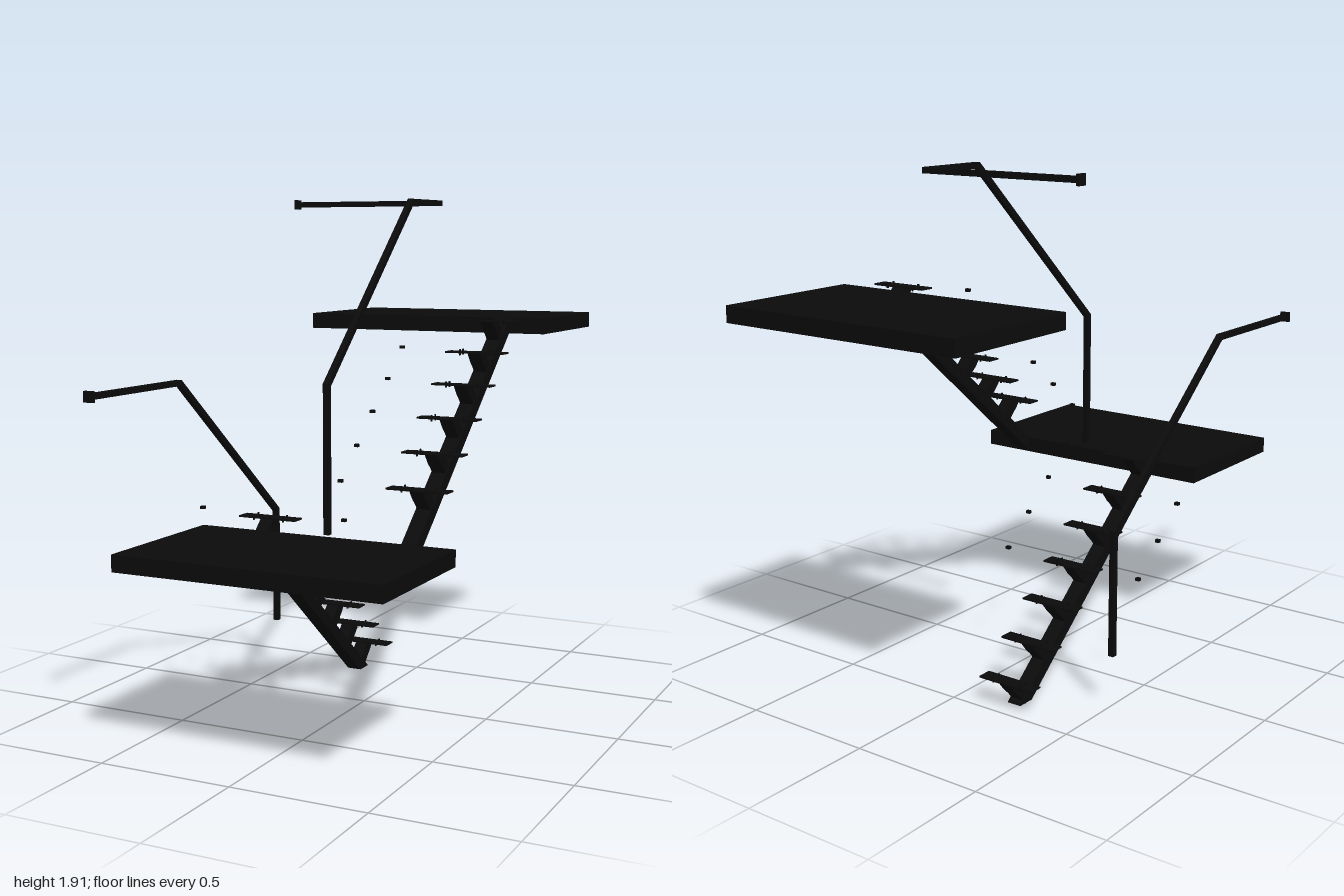
import * as THREE from 'three';

const mat = new THREE.MeshStandardMaterial({ color: 0x0b0b0b });
const STEP_Z = 0.13, STEP_Y = 0.109;

function add(parent, geometry, name, x = 0, y = 0, z = 0) {
  const mesh = new THREE.Mesh(geometry, mat);
  mesh.name = name;
  mesh.position.set(x, y, z);
  parent.add(mesh);
  return mesh;
}

const box = (w, h, d) => new THREE.BoxGeometry(w, h, d);

// Side profile of [z, y] points, extruded along x and centred on x = 0
function sideExtrude(points, width) {
  const shape = new THREE.Shape(points.map(([z, y]) => new THREE.Vector2(-z, y)));
  const geo = new THREE.ExtrudeGeometry(shape, { depth: width, bevelEnabled: false });
  return geo.translate(0, 0, -width / 2).rotateY(Math.PI / 2);
}

// Square bar swept along a polyline with mitred corners
function mitredBar(points, size) {
  const p = points.map(a => new THREE.Vector3(...a));
  const dirs = p.slice(1).map((q, i) => q.clone().sub(p[i]).normalize());
  const d0 = dirs[0];
  const u = new THREE.Vector3(1, 0, 0);
  const v = new THREE.Vector3().crossVectors(d0, u);
  const corners = [[-1, -1], [1, -1], [1, 1], [-1, 1]];
  let ring = corners.map(([a, b]) =>
    p[0].clone().addScaledVector(u, a * size / 2).addScaledVector(v, b * size / 2));
  const pos = [];
  const quad = (a, b, c, d) => [a, b, c, a, c, d].forEach(q => pos.push(q.x, q.y, q.z));
  quad(ring[3], ring[2], ring[1], ring[0]);
  dirs.forEach((d, i) => {
    // slide the ring along the segment to the mitre plane at its end
    const n = d.clone().add(dirs[i + 1] ?? d).normalize();
    const next = ring.map(c =>
      c.clone().addScaledVector(d, p[i + 1].clone().sub(c).dot(n) / d.dot(n)));
    for (let k = 0; k < 4; k++) {
      const m = (k + 1) % 4;
      quad(ring[k], ring[m], next[m], next[k]);
    }
    ring = next;
  });
  quad(ring[0], ring[1], ring[2], ring[3]);
  const geo = new THREE.BufferGeometry();
  geo.setAttribute('position', new THREE.Float32BufferAttribute(pos, 3));
  geo.computeVertexNormals();
  return geo;
}

// One flight: central stringer, bracketed treads, bolts and side fixings.
// up is the z direction of climbing.
function flight({ name, x, up, profile, count, z0, y0, fixings, firstFixing }) {
  const g = new THREE.Group();
  g.name = name;
  g.position.x = x;
  add(g, sideExtrude(profile, 0.057), 'stringer');

  // slanted bracket with a hollowed underside
  const outline = [[-0.028, 0], [0.028, 0], [0.105, -0.075], [0.06, -0.098], [0.024, -0.056], [0, -0.034]];
  if (up < 0) outline.reverse();
  const bracket = sideExtrude(outline.map(([z, y]) => [z * up, y]), 0.05);

  for (let i = 0; i < count; i++) {
    const y = y0 + i * STEP_Y, z = z0 + up * i * STEP_Z;
    add(g, bracket, 'treadBracket', 0, y - 0.002, z);
    add(g, box(0.23, 0.006, 0.056), 'tread', 0, y, z);
    for (const sx of [-1, 1])
      for (const sz of [-1, 1])
        add(g, box(0.005, 0.022, 0.006), 'treadBolt', sx * 0.06, y, z + sz * 0.016);
    if (i >= firstFixing)
      for (const fx of fixings)
        add(g, box(0.016, 0.011, 0.014), 'railFixing', fx, y + 0.012, z - up * 0.01);
  }
  return g;
}

export function createModel() {
  const model = new THREE.Group();
  model.name = 'staircase';

  // Landings
  add(model, box(0.99, 0.06, 0.57), 'middleLanding', 0.055, 0.69, 0.715);
  add(model, box(0.99, 0.06, 0.57), 'upperLanding', 0.055, 1.42, -0.715);

  // Flights
  model.add(flight({
    name: 'lowerFlight', x: -0.217, up: 1, count: 7, z0: -0.45, y0: 0.095,
    profile: [[-0.425, 0], [-0.356, 0], [0.435, 0.66], [0.435, 0.72]],
    fixings: [-0.293, 0.293], firstFixing: 3,
  }));
  model.add(flight({
    name: 'upperFlight', x: 0.38, up: -1, count: 6, z0: 0.35, y0: 0.897,
    profile: [[0.435, 0.66], [0.435, 0.72], [-0.435, 1.45], [-0.435, 1.39]].reverse(),
    fixings: [-0.297], firstFixing: 0,
  }));

  // Handrails with square end plates
  const rail = 0.021;
  const lower = new THREE.Group();
  lower.name = 'lowerHandrail';
  add(lower, mitredBar([[-0.516, 0.2, -0.243], [-0.516, 0.66, -0.243],
    [-0.516, 1.237, 0.46], [-0.516, 1.237, 0.995]], rail), 'rail');
  add(lower, box(0.038, 0.038, 0.012), 'endPlate', -0.516, 1.237, 0.994);

  const upper = new THREE.Group();
  upper.name = 'upperHandrail';
  add(upper, mitredBar([[0.083, 0.735, 0.461], [0.083, 1.255, 0.461],
    [0.083, 1.888, -0.232], [0.083, 1.888, -0.503], [-0.545, 1.888, -0.503]], rail), 'rail');
  add(upper, box(0.012, 0.038, 0.038), 'endPlate', -0.547, 1.888, -0.503);
  model.add(lower, upper);

  return model;
}
